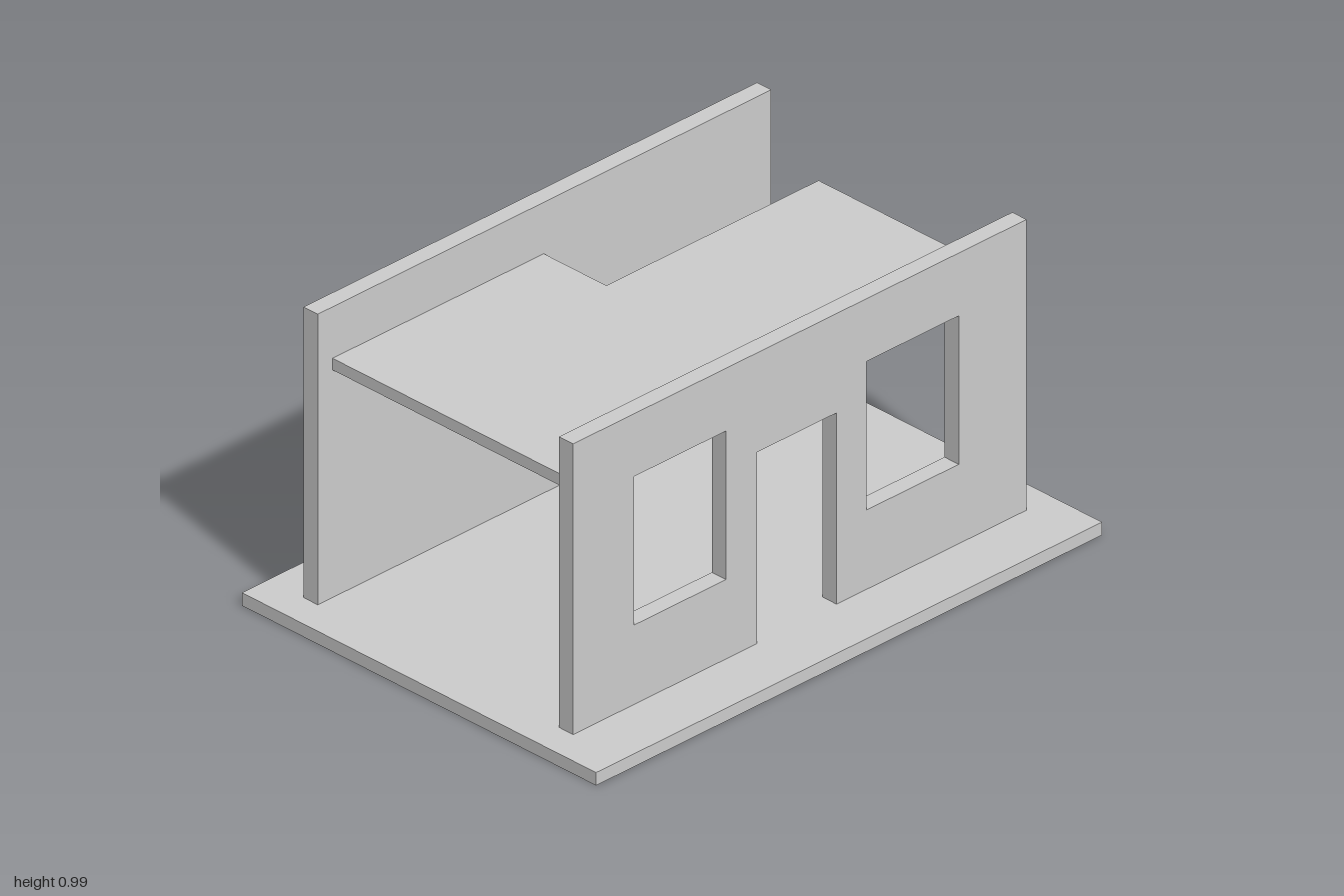
import * as THREE from 'three';

const material = new THREE.MeshStandardMaterial({ color: 0xcccccc, flatShading: true });

const BASE_TOP = 0.042;
const WALL_TOP = 0.987;
const WALL_X = 0.896;
const WALL_DEPTH = 0.057;

function addPart(group, name, geometry, x, y, z) {
  const mesh = new THREE.Mesh(geometry, material);
  mesh.name = name;
  mesh.position.set(x, y, z);
  group.add(mesh);
}

function outline(points, Type = THREE.Shape) {
  return new Type(points.map(([x, y]) => new THREE.Vector2(x, y)));
}

const extrude = (shape, depth) =>
  new THREE.ExtrudeGeometry(shape, { depth, bevelEnabled: false });

export function createModel() {
  const house = new THREE.Group();
  house.name = 'house';

  // Ground slab
  addPart(house, 'baseSlab', new THREE.BoxGeometry(2, BASE_TOP, 1.418), 0, BASE_TOP / 2, 0);

  // Front wall: the doorway is part of the outline, the windows are holes
  const doorLeft = 0.145, doorRight = -0.17, doorTop = 0.664;
  const front = outline([
    [-WALL_X, BASE_TOP], [doorRight, BASE_TOP], [doorRight, doorTop],
    [doorLeft, doorTop], [doorLeft, BASE_TOP], [WALL_X, BASE_TOP],
    [WALL_X, WALL_TOP], [-WALL_X, WALL_TOP],
  ]);
  for (const [x0, x1] of [[-0.656, -0.292], [0.264, 0.628]]) {
    front.holes.push(outline([[x0, 0.3], [x0, 0.783], [x1, 0.783], [x1, 0.3]], THREE.Path));
  }
  addPart(house, 'frontWall', extrude(front, WALL_DEPTH), 0, 0, 0.455);

  // Solid back wall
  const wallHeight = WALL_TOP - BASE_TOP;
  addPart(house, 'backWall', new THREE.BoxGeometry(WALL_X * 2, wallHeight, WALL_DEPTH),
    0, BASE_TOP + wallHeight / 2, -0.539);

  // Upper floor between the walls, with a stair notch at the back left (plan in x, z)
  const floor = extrude(outline([
    [-0.838, -0.511], [-0.003, -0.511], [-0.003, -0.26],
    [0.836, -0.26], [0.836, 0.455], [-0.838, 0.455],
  ]), 0.038);
  floor.rotateX(Math.PI / 2);
  addPart(house, 'upperFloor', floor, 0, 0.82, 0);

  return house;
}
